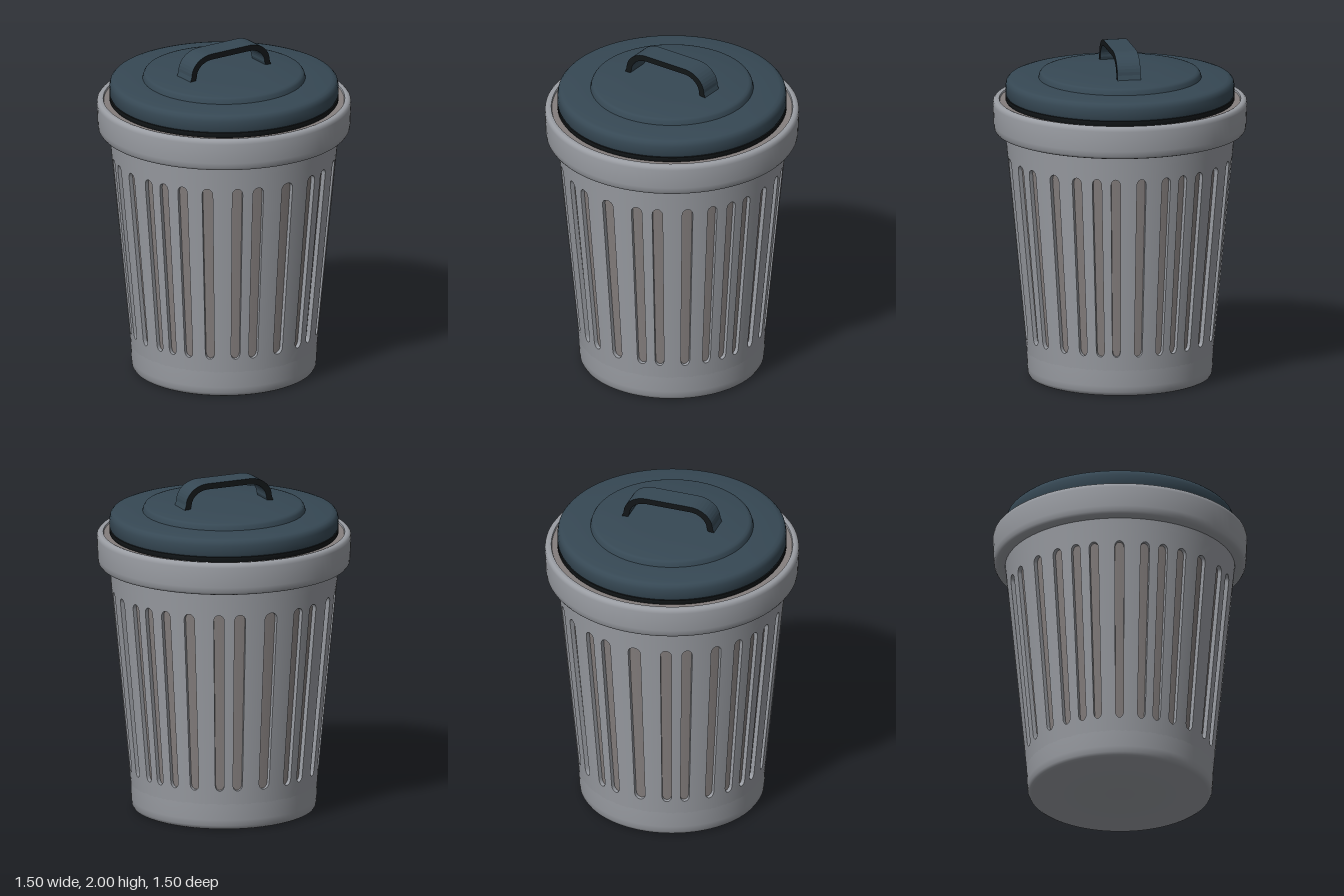
import * as THREE from 'three';
import { toCreasedNormals, mergeGeometries } from 'three/addons/utils/BufferGeometryUtils.js';

const SLOPE = 0.0953;
const SLOT_DEPTH = 0.025;
const radiusAt = (y) => 0.555 + SLOPE * (y - 0.2);

// Point on the tapered wall; angle is measured from +z towards +x
function wallPoint(angle, y, inset = 0) {
  const r = radiusAt(y) - inset;
  return [r * Math.sin(angle), y, r * Math.cos(angle)];
}

function lathe(points, segments = 96) {
  const profile = points.map(([x, y]) => new THREE.Vector2(x, y));
  return toCreasedNormals(new THREE.LatheGeometry(profile, segments), 0.7);
}

// Outline of a round-ended slot, counter-clockwise in (angle, height)
function slotOutline(center, half) {
  const points = [];
  const cap = 0.036, steps = 8;
  for (let i = 0; i <= steps; i++) {
    const a = Math.PI + (Math.PI * i) / steps;
    points.push(new THREE.Vector2(center + half * Math.cos(a), 0.24 + cap + cap * Math.sin(a)));
  }
  for (let i = 0; i <= steps; i++) {
    const a = (Math.PI * i) / steps;
    points.push(new THREE.Vector2(center + half * Math.cos(a), 1.34 - cap + cap * Math.sin(a)));
  }
  return points;
}

// Curved wall panel pierced by one slot
function panelGeometry(from, to, outline) {
  const y0 = 0.15, y1 = 1.43, steps = 8;
  const border = [];
  for (let i = 0; i <= steps; i++) border.push(new THREE.Vector2(from + ((to - from) * i) / steps, y0));
  for (let i = steps; i >= 0; i--) border.push(new THREE.Vector2(from + ((to - from) * i) / steps, y1));
  const shape = new THREE.Shape(border);
  shape.holes.push(new THREE.Path(outline));
  const geo = new THREE.ShapeGeometry(shape);
  const pos = geo.attributes.position, normal = geo.attributes.normal;
  const n = new THREE.Vector3();
  for (let i = 0; i < pos.count; i++) {
    const angle = pos.getX(i);
    pos.setXYZ(i, ...wallPoint(angle, pos.getY(i)));
    n.set(Math.sin(angle), -SLOPE, Math.cos(angle)).normalize();
    normal.setXYZ(i, n.x, n.y, n.z);
  }
  geo.deleteAttribute('uv');
  return geo.toNonIndexed();
}

// Short wall running inward around the slot outline
function slotSideGeometry(outline) {
  const verts = [];
  outline.forEach((p, i) => {
    const q = outline[(i + 1) % outline.length];
    const a = wallPoint(p.x, p.y), b = wallPoint(q.x, q.y);
    const c = wallPoint(q.x, q.y, SLOT_DEPTH), d = wallPoint(p.x, p.y, SLOT_DEPTH);
    verts.push(...a, ...b, ...c, ...a, ...c, ...d);
  });
  const geo = new THREE.BufferGeometry();
  geo.setAttribute('position', new THREE.Float32BufferAttribute(verts, 3));
  geo.computeVertexNormals();
  return toCreasedNormals(geo, 0.6);
}

// Slots for one quarter, mirrored across both axes: [degrees, half width]
function allSlots() {
  const quarter = [[16.6, 0.05], [27.5, 0.047], [43, 0.048], [56.2, 0.045], [67, 0.043], [76.7, 0.042]];
  const slots = [[0, 0.058], [90, 0.042], [180, 0.058], [270, 0.042]];
  for (const [deg, half] of quarter) {
    for (const d of [deg, 180 - deg, 180 + deg, 360 - deg]) slots.push([d, half]);
  }
  return slots
    .map(([deg, half]) => ({ angle: THREE.MathUtils.degToRad(deg), half }))
    .sort((a, b) => a.angle - b.angle);
}

// Arched band: outer curve forwards, inner curve back
function handleGeometry() {
  const arch = (w, top, corner) => {
    const points = [];
    const base = 1.835;
    points.push(new THREE.Vector2(w + 0.015, base));
    for (let i = 0; i <= 10; i++) {
      const a = (Math.PI / 2) * (i / 10);
      points.push(new THREE.Vector2(w - corner + corner * Math.cos(a), top - corner * 0.85 + corner * 0.85 * Math.sin(a)));
    }
    const mirrored = points.map((p) => new THREE.Vector2(-p.x, p.y)).reverse();
    return [...points, ...mirrored];
  };
  const outer = arch(0.278, 2.0, 0.14);
  const inner = arch(0.243, 1.965, 0.107).reverse();
  const geo = new THREE.ExtrudeGeometry(new THREE.Shape([...outer, ...inner]), {
    depth: 0.14, bevelEnabled: false,
  });
  geo.translate(0, 0, -0.07);
  return geo;
}

export function createModel() {
  const material = (name, color) => {
    const m = new THREE.MeshStandardMaterial({ color });
    m.name = name;
    return m;
  };
  const grey = material('binGrey', 0x9a9da3);
  const lining = material('liningGrey', 0x857f7e);
  const blue = material('lidBlue', 0x364854);
  const dark = material('darkTrim', 0x121618);

  const model = new THREE.Group();
  model.name = 'trashCan';
  const add = (name, geometry, mat) => {
    const mesh = new THREE.Mesh(geometry, mat);
    mesh.name = name;
    model.add(mesh);
  };

  // Slotted wall
  const slots = allSlots();
  const pieces = [];
  slots.forEach((slot, i) => {
    const prev = i > 0 ? slots[i - 1].angle : slots[slots.length - 1].angle - Math.PI * 2;
    const next = i < slots.length - 1 ? slots[i + 1].angle : slots[0].angle + Math.PI * 2;
    const outline = slotOutline(slot.angle, slot.half);
    pieces.push(panelGeometry((prev + slot.angle) / 2, (slot.angle + next) / 2, outline));
    pieces.push(slotSideGeometry(outline));
  });
  add('slottedWall', mergeGeometries(pieces), grey);

  // Lining seen through the slots
  add('lining', lathe([
    [radiusAt(0.16) - SLOT_DEPTH, 0.16], [radiusAt(1.42) - SLOT_DEPTH, 1.42],
  ]), lining);

  // Rounded foot and floor
  add('base', lathe([
    [0, 0], [0.52, 0], [0.534, 0.008], [0.543, 0.025], [0.547, 0.06], [radiusAt(0.16), 0.16],
  ]), grey);

  // Neck and overhanging rim
  add('rim', lathe([
    [radiusAt(1.42), 1.42], [0.677, 1.48], [0.715, 1.48], [0.732, 1.486], [0.741, 1.5],
    [0.745, 1.53], [0.75, 1.65], [0.747, 1.668], [0.738, 1.677], [0.725, 1.68], [0.712, 1.677],
    [0.707, 1.665],
  ]), grey);
  add('rimLedge', lathe([[0.71, 1.668], [0.6, 1.662]]), lining);

  // Lid with a raised centre
  add('lidSeal', lathe([[0.6, 1.665], [0.668, 1.665], [0.675, 1.675], [0.675, 1.697], [0.66, 1.7]]), dark);
  add('lid', lathe([
    [0.64, 1.698], [0.668, 1.698], [0.674, 1.71], [0.674, 1.765], [0.669, 1.785], [0.657, 1.798],
    [0.635, 1.804], [0.48, 1.808], [0.474, 1.83], [0.466, 1.841], [0.45, 1.845],
    [0.25, 1.856], [0, 1.86],
  ]), blue);

  // Band handle, dark on its two flat faces
  add('handle', handleGeometry(), [dark, blue]);

  return model;
}
